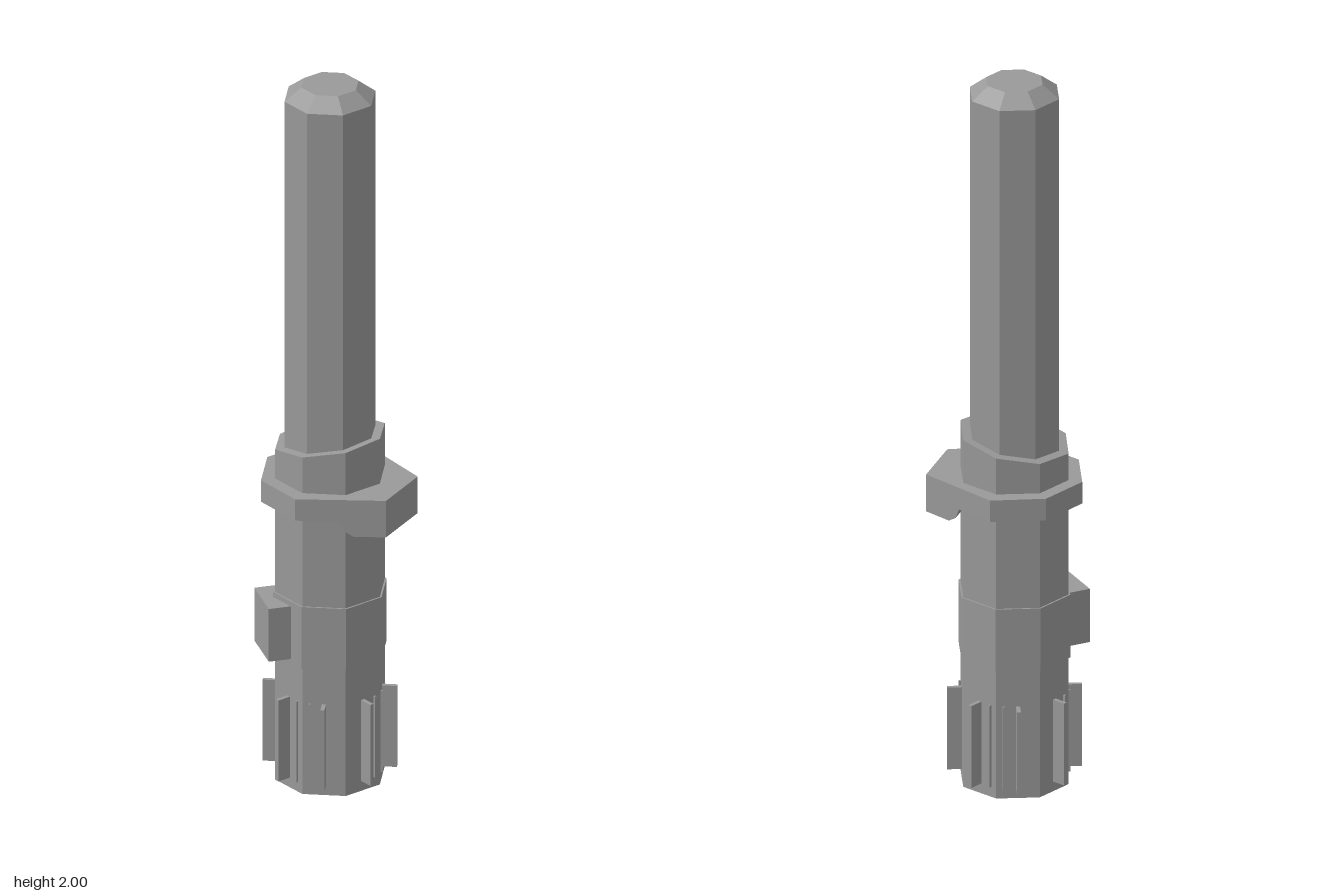
import * as THREE from 'three';
import { ConvexGeometry } from 'three/addons/geometries/ConvexGeometry.js';

const AXIS_X = -0.015; // the round parts sit slightly off centre

export function createModel() {
  const model = new THREE.Group();
  const material = new THREE.MeshStandardMaterial({ color: 0x999999, flatShading: true });

  const add = (name, geometry, parent = model) => {
    const mesh = new THREE.Mesh(geometry, material);
    mesh.name = name;
    parent.add(mesh);
    return mesh;
  };

  // Eight-sided section standing between two heights
  const section = (name, y0, y1, r0, r1 = r0) => {
    const geometry = new THREE.CylinderGeometry(r1, r0, y1 - y0, 8);
    geometry.translate(AXIS_X, (y0 + y1) / 2, 0);
    return add(name, geometry);
  };

  // Handle with a slanted rim at its upper end
  const handle = section('handle', 0, 0.95, 0.15).geometry;
  const pos = handle.attributes.position;
  for (let i = 0; i < pos.count; i++) {
    if (pos.getY(i) > 0.8) pos.setY(i, 0.95 + (pos.getX(i) + 0.165) * 0.18);
  }
  handle.computeVertexNormals();

  // Slightly raised band around the middle
  section('band', 0.365, 0.545, 0.155);

  // Blade with a chamfered tip
  section('blade', 0.92, 1.965, 0.124);
  section('bladeTip', 1.965, 2, 0.124, 0.078);

  // Collar, octagonal at the back and drawn out to a flat prow at +x
  const outline = [[0.201, 0.086], [-0.013, 0.193], [-0.148, 0.134], [-0.203, 0]];
  const mirrored = outline.slice(0, 3).reverse().map(([x, z]) => [x, -z]);
  const shape = new THREE.Shape([...outline, ...mirrored].map(([x, z]) => new THREE.Vector2(x, z)));
  const collar = new THREE.ExtrudeGeometry(shape, { depth: 0.062, bevelEnabled: false });
  collar.rotateX(-Math.PI / 2);
  collar.translate(0, 0.812, 0);
  add('collar', collar);

  // Deeper block beneath the prow, rounded toward the handle
  const blockPoints = [];
  for (const [x, y] of [[0.09, 0.815], [0.103, 0.783], [0.125, 0.768], [0.201, 0.768], [0.201, 0.815]]) {
    const z = 0.086 + (0.201 - x) * 0.5;
    blockPoints.push(new THREE.Vector3(x, y, z), new THREE.Vector3(x, y, -z));
  }
  add('collarBlock', new ConvexGeometry(blockPoints));

  // Control box set on a corner edge of the handle
  const control = new THREE.Group();
  control.name = 'controlBox';
  control.position.set(AXIS_X, 0.454, 0);
  control.rotation.y = -Math.PI / 4;
  add('controlBoxBody', new THREE.BoxGeometry(0.137, 0.153, 0.065), control).position.z = 0.1545;
  model.add(control);

  // Grip: a tall fin and a thin ridge on every face
  for (let i = 0; i < 8; i++) {
    const grip = new THREE.Group();
    grip.name = 'grip' + (i + 1);
    grip.position.set(AXIS_X, 0.146, 0);
    grip.rotation.y = Math.PI / 8 + (i * Math.PI) / 4;
    add('gripFin', new THREE.BoxGeometry(0.011, 0.235, 0.05), grip).position.z = 0.1525;
    add('gripRidge', new THREE.BoxGeometry(0.005, 0.235, 0.014), grip)
      .position.set(i % 2 ? 0.038 : -0.038, 0, 0.138);
    model.add(grip);
  }

  return model;
}
